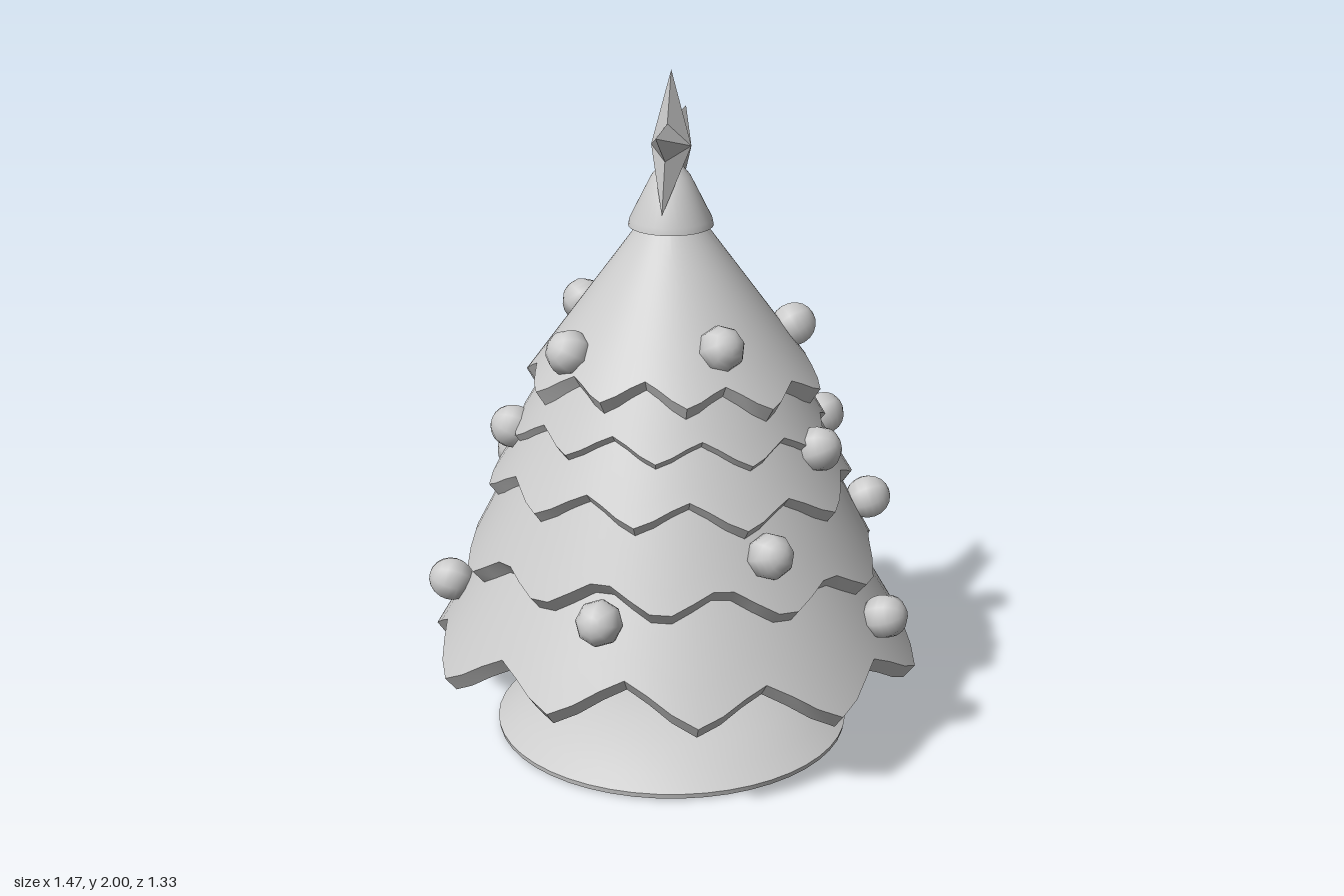
import * as THREE from 'three';
import { toCreasedNormals } from 'three/addons/utils/BufferGeometryUtils.js';

const material = new THREE.MeshStandardMaterial({ color: 0xcccccc });
const doubleSided = new THREE.MeshStandardMaterial({ color: 0xcccccc, side: THREE.DoubleSide });

function add(parent, name, geometry, mat = material) {
  const mesh = new THREE.Mesh(geometry, mat);
  mesh.name = name;
  parent.add(mesh);
  return mesh;
}

function lathe(profile, segments) {
  const points = profile.map(([r, y]) => new THREE.Vector2(r, y));
  return toCreasedNormals(new THREE.LatheGeometry(points, segments), 0.5);
}

// Thick conical skirt with a zigzag hem; the hem slides along the slope
function tierGeometry({ top, hem, inner, amp, tilt, phase }) {
  const points = 10, segments = 60, rows = 8;
  const slope = new THREE.Vector2(hem[0] - top[0], hem[1] - top[1]).normalize();
  const inward = new THREE.Vector2(slope.y, -slope.x);
  const positions = [], index = [];
  for (let i = 0; i <= segments; i++) {
    const a = (i / segments) * Math.PI * 2;
    const u = (a - phase) * points;
    // softened triangle wave, plus a droop towards both sides
    const zig = Math.asin(0.95 * Math.cos(u)) / Math.asin(0.95);
    const d = amp * zig + tilt * Math.cos(2 * a);
    const edge = new THREE.Vector2(...hem).addScaledVector(slope, d);
    const start = new THREE.Vector2(...top);
    const profile = [];
    for (let j = 0; j <= 5; j++) profile.push(start.clone().lerp(edge, j / 5));
    profile.push(edge.clone().addScaledVector(inward, 0.05).addScaledVector(slope, 0.02));
    profile.push(new THREE.Vector2(...inner));
    for (const p of profile) positions.push(p.x * Math.cos(a), p.y, p.x * Math.sin(a));
  }
  for (let i = 0; i < segments; i++) {
    for (let j = 0; j < rows - 1; j++) {
      const a = i * rows + j, b = a + rows;
      index.push(a, b, a + 1, b, b + 1, a + 1);
    }
  }
  const geometry = new THREE.BufferGeometry();
  geometry.setAttribute('position', new THREE.Float32BufferAttribute(positions, 3));
  geometry.setIndex(index);
  return toCreasedNormals(geometry, 0.6);
}

// Faceted five-pointed star lying in the y-z plane, ridged on both faces
function starGeometry(outer, innerRadius, depth) {
  const corner = (k) => {
    const r = k % 2 ? innerRadius : outer, a = (k * Math.PI) / 5;
    return [0, r * Math.cos(a), r * Math.sin(a)];
  };
  const positions = [];
  for (let k = 0; k < 10; k++) {
    positions.push(depth, 0, 0, ...corner(k), ...corner(k + 1));
    positions.push(-depth, 0, 0, ...corner(k + 1), ...corner(k));
  }
  const geometry = new THREE.BufferGeometry();
  geometry.setAttribute('position', new THREE.Float32BufferAttribute(positions, 3));
  geometry.computeVertexNormals();
  return geometry;
}

export function createModel() {
  const tree = new THREE.Group();
  tree.name = 'decoratedTree';

  // Domed stand and trunk with collar
  add(tree, 'stand', lathe([
    [0, 0], [0.525, 0.005], [0.528, 0.02], [0.47, 0.06], [0.39, 0.105],
    [0.3, 0.14], [0.2, 0.162], [0, 0.165],
  ], 48));
  add(tree, 'trunkCollar', lathe([
    [0.2, 0.15], [0.202, 0.18], [0.195, 0.19], [0.17, 0.192],
  ], 40));
  const trunk = add(tree, 'trunk', new THREE.CylinderGeometry(0.172, 0.172, 0.55, 40));
  trunk.position.y = 0.435;

  // Overlapping branch tiers, top to bottom
  const deg = Math.PI / 180;
  const tiers = [
    { top: [0.085, 1.575], hem: [0.395, 1.15], inner: [0.25, 1.25], amp: 0.035, tilt: 0.035, phase: 0 },
    { top: [0.29, 1.25], hem: [0.435, 1.0], inner: [0.3, 1.08], amp: 0.035, tilt: 0.03, phase: 12 * deg },
    { top: [0.35, 1.1], hem: [0.505, 0.84], inner: [0.35, 0.92], amp: 0.04, tilt: 0.03, phase: 18 * deg },
    { top: [0.41, 0.95], hem: [0.585, 0.61], inner: [0.4, 0.72], amp: 0.045, tilt: 0.035, phase: 9 * deg },
    { top: [0.43, 0.78], hem: [0.685, 0.335], inner: [0.15, 0.62], amp: 0.06, tilt: 0.045, phase: 0 },
  ];
  const branches = new THREE.Group();
  branches.name = 'branches';
  tree.add(branches);
  tiers.forEach((tier, i) => add(branches, `branchTier${i + 1}`, tierGeometry(tier), doubleSided));

  // Baubles, each with its pole facing away from the tree
  const baubles = new THREE.Group();
  baubles.name = 'baubles';
  tree.add(baubles);
  const baubleGeometry = new THREE.SphereGeometry(0.067, 8, 10).rotateX(Math.PI / 2);
  const places = [
    [-0.11, 1.35, -0.26], [0.19, 1.275, 0.235], [-0.3, 1.26, -0.165],
    [0.33, 1.235, -0.145], [-0.245, 1.235, 0.24], [0.01, 0.98, -0.49],
    [0.45, 0.95, 0.105], [-0.45, 0.95, 0.11], [0.4, 0.915, -0.28],
    [-0.515, 0.765, -0.175], [0.365, 0.735, 0.4], [0.56, 0.7, -0.175],
    [-0.34, 0.62, -0.53], [-0.08, 0.575, 0.59], [0.4, 0.57, -0.45],
    [-0.64, 0.465, 0.155], [0.655, 0.445, 0.105],
  ];
  places.forEach(([x, y, z], i) => {
    const bauble = add(baubles, `bauble${i + 1}`, baubleGeometry);
    bauble.position.set(x, y, z);
    bauble.lookAt(x * 2, y + 0.2, z * 2);
  });

  // Cap and star
  const cap = add(tree, 'starCap', lathe([
    [0, 1.555], [0.122, 1.555], [0.118, 1.575], [0.078, 1.655], [0.055, 1.7],
    [0.03, 1.73], [0, 1.74],
  ], 32));
  cap.position.set(-0.005, 0, -0.01);
  const star = add(tree, 'star', starGeometry(0.215, 0.09, 0.058));
  star.position.set(-0.005, 1.785, -0.015);
  return tree;
}
